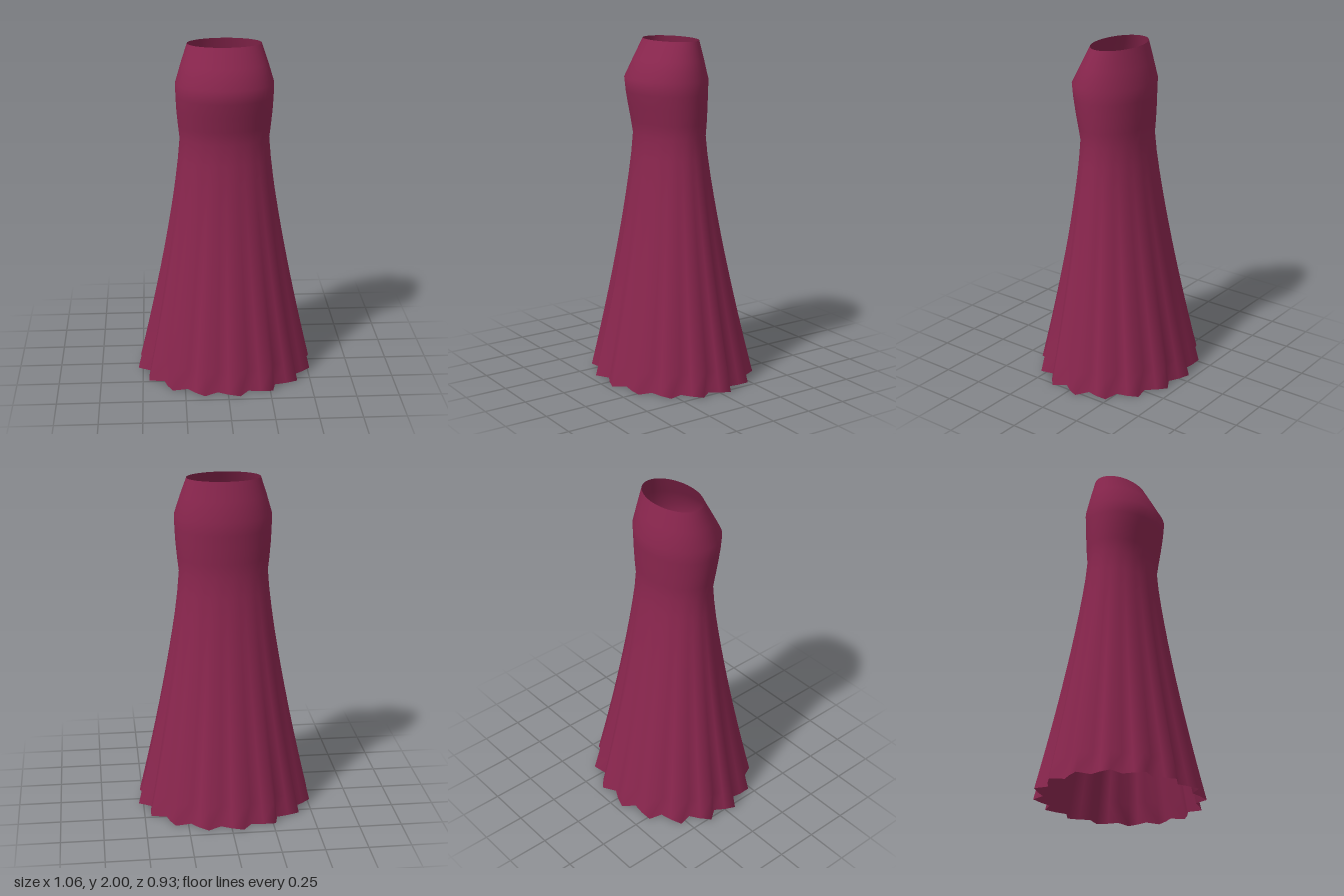
import * as THREE from 'three';

const SEGMENTS = 48, PLEATS = 16;

// Cross-sections of the gown: height, half width, half depth, z offset, pleat depth
function gownRings() {
  const rings = [];
  // Flared skirt, pleats growing from the waist to the hem
  const steps = 12, waistY = 1.45;
  for (let i = 0; i <= steps; i++) {
    const y = (waistY * i) / steps;
    const t = 1 - i / steps;
    const flare = Math.pow(t, 1.25);
    rings.push([y, 0.26 + 0.24 * flare, 0.187 + 0.253 * flare, 0.017 * (1 - t), 0.075 * t]);
  }
  // Bodice, bust and neckline
  rings.push([1.53, 0.269, 0.196, 0.021, 0]);
  rings.push([1.62, 0.277, 0.207, 0.028, 0]);
  rings.push([1.70, 0.281, 0.216, 0.034, 0]);
  rings.push([1.78, 0.283, 0.223, 0.037, 0]);
  rings.push([1.89, 0.25, 0.179, 0.021, 0]);
  rings.push([2.0, 0.213, 0.134, 0.005, 0]);
  return rings;
}

// Open tube through the rings, with shared vertices for smooth normals
function loft(rings) {
  const positions = [], indices = [];
  for (const [y, rx, rz, cz, pleat] of rings) {
    for (let j = 0; j < SEGMENTS; j++) {
      const a = (j / SEGMENTS) * Math.PI * 2;
      const k = 1 - pleat * Math.sin(PLEATS * a);
      positions.push(rx * k * Math.cos(a), y, cz + rz * k * Math.sin(a));
    }
  }
  for (let i = 0; i < rings.length - 1; i++) {
    for (let j = 0; j < SEGMENTS; j++) {
      const n = (j + 1) % SEGMENTS;
      const a = i * SEGMENTS + j, b = i * SEGMENTS + n;
      const c = a + SEGMENTS, d = b + SEGMENTS;
      indices.push(a, c, b, b, c, d);
    }
  }
  const geometry = new THREE.BufferGeometry();
  geometry.setAttribute('position', new THREE.Float32BufferAttribute(positions, 3));
  geometry.setIndex(indices);
  geometry.computeVertexNormals();
  return geometry;
}

export function createModel() {
  const group = new THREE.Group();
  group.name = 'gown';
  const fabric = new THREE.MeshStandardMaterial({ color: 0x8a264e, side: THREE.DoubleSide });
  fabric.name = 'burgundy fabric';

  const dress = new THREE.Mesh(loft(gownRings()), fabric);
  dress.name = 'pleatedDress';
  group.add(dress);
  return group;
}
